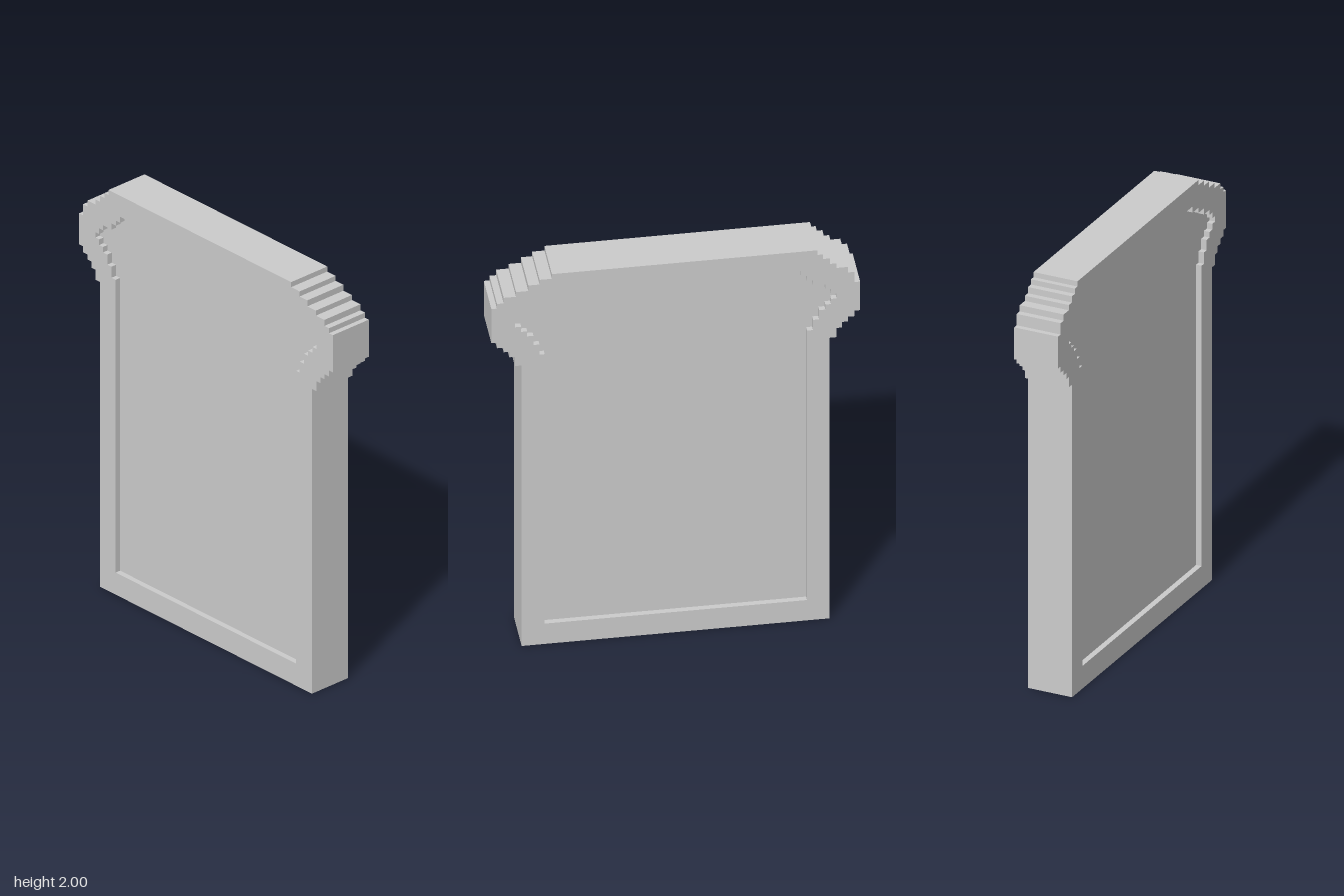
import * as THREE from 'three';

const DEPTH = 0.217;   // full thickness of the slice
const RECESS = 0.027;  // how far the crumb sits below the crust on each face

// Stepped sides, climbing from the bottom: [x, y where this step ends]
const crustRight = [[0.685, 1.52], [0.715, 1.57], [0.74, 1.6], [0.765, 1.625], [0.795, 1.655], [0.82, 1.84],
  [0.795, 1.865], [0.765, 1.895], [0.71, 1.92], [0.655, 1.95], [0.605, 1.975], [0.55, 2]];
const crustLeft = [[-0.688, 1.52], [-0.72, 1.57], [-0.745, 1.6], [-0.77, 1.625], [-0.8, 1.655], [-0.825, 1.81],
  [-0.8, 1.865], [-0.77, 1.895], [-0.72, 1.92], [-0.69, 1.95], [-0.66, 1.975], [-0.635, 2]];
const crumbRight = [[0.582, 1.57], [0.605, 1.625], [0.632, 1.675], [0.66, 1.702], [0.687, 1.73], [0.715, 1.757],
  [0.687, 1.785], [0.66, 1.81], [0.605, 1.84], [0.55, 1.865], [0.495, 1.895]];
const crumbLeft = [[-0.588, 1.57], [-0.615, 1.625], [-0.642, 1.675], [-0.67, 1.702], [-0.695, 1.73], [-0.72, 1.757],
  [-0.695, 1.785], [-0.67, 1.81], [-0.615, 1.84], [-0.587, 1.865], [-0.56, 1.895]];

// Turn a list of steps into a staircase of corners
function climb(steps, bottom) {
  const points = [];
  let y = bottom;
  for (const [x, top] of steps) {
    points.push(new THREE.Vector2(x, y), new THREE.Vector2(x, top));
    y = top;
  }
  return points;
}

// Closed counter-clockwise outline: up the right side, down the left
function outline(right, left, bottom) {
  return [...climb(right, bottom), ...climb(left, bottom).reverse()];
}

// Extruded slab centred on z = 0
function slab(name, shape, depth, material) {
  const geometry = new THREE.ExtrudeGeometry(shape, { depth, bevelEnabled: false });
  geometry.translate(0, 0, -depth / 2);
  const mesh = new THREE.Mesh(geometry, material);
  mesh.name = name;
  return mesh;
}

export function createModel() {
  const group = new THREE.Group();
  group.name = 'breadSlice';
  const material = new THREE.MeshStandardMaterial({ color: 0xcccccc, flatShading: true });

  const crumbOutline = outline(crumbRight, crumbLeft, 0.11);

  // Crust: stepped frame around the slice
  const crustShape = new THREE.Shape(outline(crustRight, crustLeft, 0));
  crustShape.holes.push(new THREE.Path(crumbOutline));
  group.add(slab('crust', crustShape, DEPTH, material));

  // Crumb: thinner panel, recessed on both faces
  group.add(slab('crumb', new THREE.Shape(crumbOutline), DEPTH - 2 * RECESS, material));

  return group;
}
